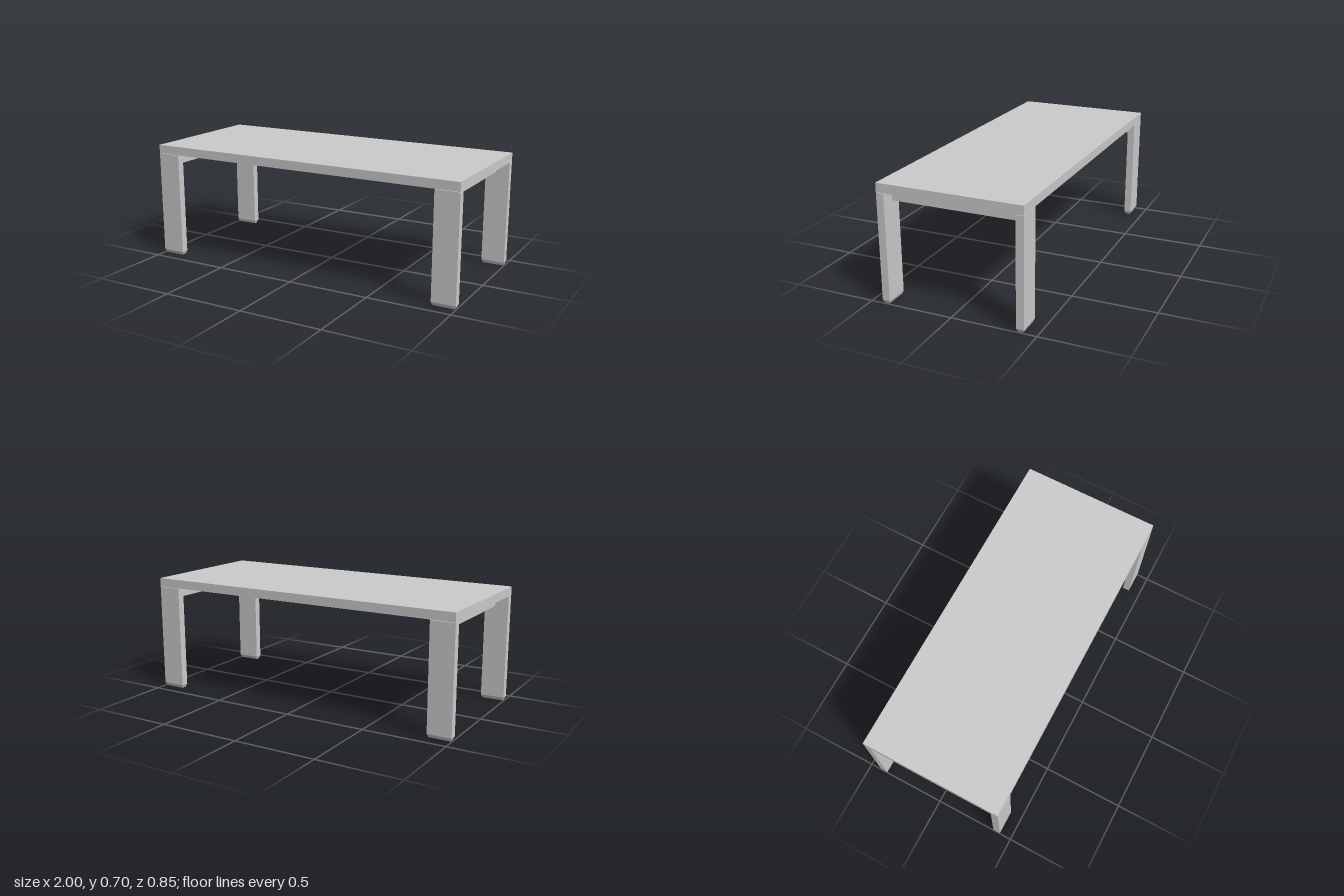
import * as THREE from 'three';

const material = new THREE.MeshStandardMaterial({ color: 0xcccccc, flatShading: true });

// Box given by its size, centre x and z, and bottom height
function box(name, w, h, d, x, y, z) {
  const mesh = new THREE.Mesh(new THREE.BoxGeometry(w, h, d), material);
  mesh.name = name;
  mesh.position.set(x, y + h / 2, z);
  return mesh;
}

export function createModel() {
  const table = new THREE.Group();
  table.name = 'table';

  const legW = 0.145, legD = 0.045, legTop = 0.65, footH = 0.02, inset = 0.008;
  const legX = 1 - legW / 2, legZ = 0.427 - legD / 2;

  // Flat slab top, with a hairline gap above the legs
  table.add(box('tableTop', 2, 0.053, 0.854, 0, 0.652, 0));

  for (const sx of [1, -1]) {
    const side = sx > 0 ? 'left' : 'right';
    for (const sz of [1, -1]) {
      const leg = new THREE.Group();
      leg.name = `${side}${sz > 0 ? 'Front' : 'Back'}Leg`;
      leg.position.set(sx * legX, 0, sz * legZ);
      leg.add(box('legPost', legW, legTop - footH, legD, 0, footH, 0));

      // Foot: bottom corners pulled in by an even chamfer
      const foot = box('foot', legW, footH, legD, 0, 0, 0);
      const p = foot.geometry.attributes.position;
      for (let i = 0; i < p.count; i++) {
        if (p.getY(i) > 0) continue;
        p.setX(i, p.getX(i) - Math.sign(p.getX(i)) * inset);
        p.setZ(i, p.getZ(i) - Math.sign(p.getZ(i)) * inset);
      }
      foot.geometry.computeVertexNormals();
      leg.add(foot);
      table.add(leg);
    }
    // Rail joining the front and back legs at this end
    table.add(box(`${side}EndRail`, 0.03, 0.066, 0.76, sx * 0.905, 0.586, 0));
  }

  // Long flat beam under the middle, between the end rails
  table.add(box('centreBeam', 1.78, 0.047, 0.104, 0, 0.605, 0));

  return table;
}
